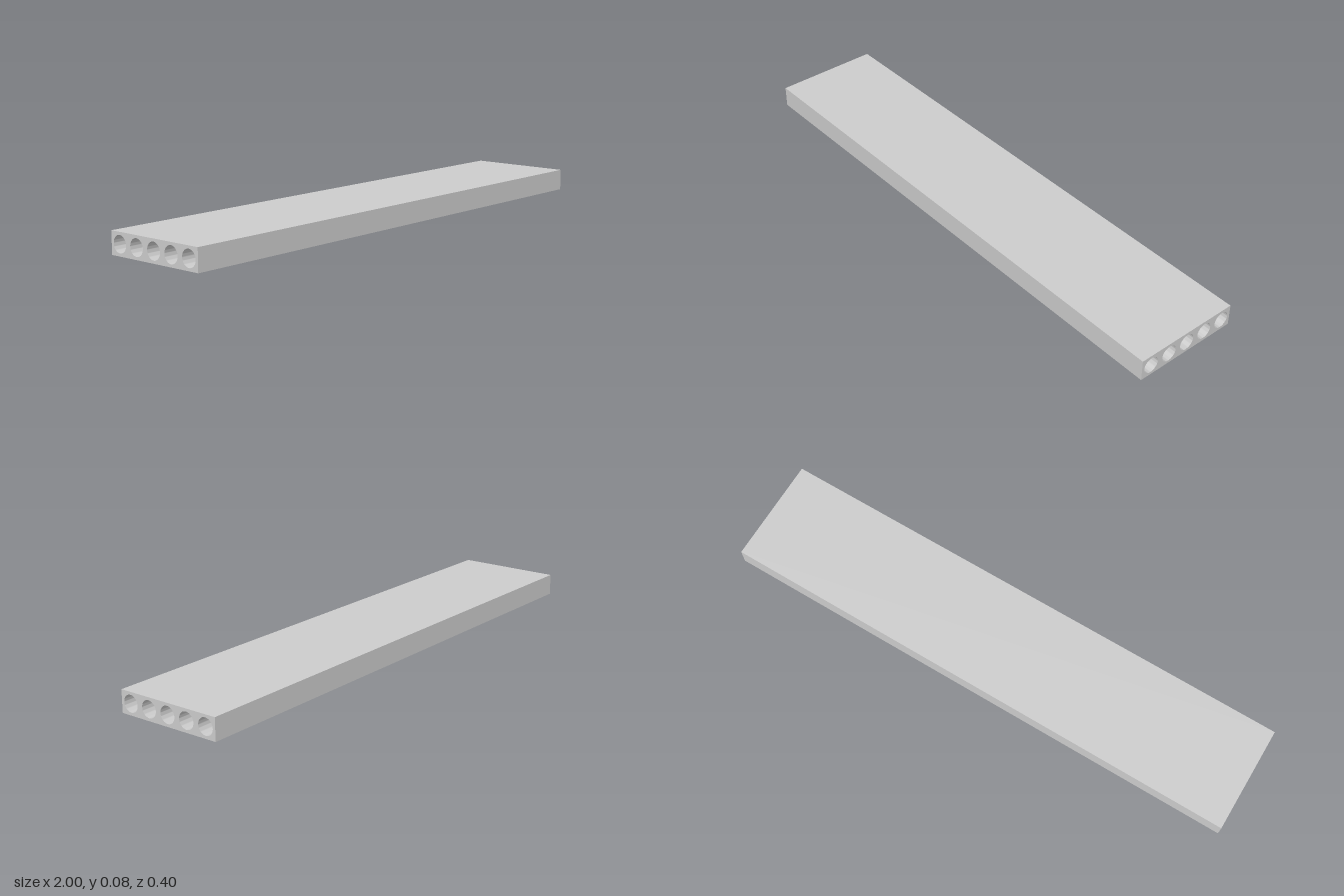
import * as THREE from 'three';
import { toCreasedNormals } from 'three/addons/utils/BufferGeometryUtils.js';

const LENGTH = 2, WIDTH = 0.4, HEIGHT = 0.08;
const CORES = 5, CORE_RADIUS = 0.03;

export function createModel() {
  const group = new THREE.Group();
  group.name = 'hollowCoreSlab';

  // Cross-section: a rectangle pierced by a row of round cores
  const section = new THREE.Shape();
  section.moveTo(-WIDTH / 2, 0);
  section.lineTo(WIDTH / 2, 0);
  section.lineTo(WIDTH / 2, HEIGHT);
  section.lineTo(-WIDTH / 2, HEIGHT);
  section.closePath();

  const spacing = WIDTH / CORES;
  for (let i = 0; i < CORES; i++) {
    const core = new THREE.Path();
    core.absarc((i - (CORES - 1) / 2) * spacing, HEIGHT / 2, CORE_RADIUS, 0, Math.PI * 2, true);
    section.holes.push(core);
  }

  // Slab: the section swept along x, smooth inside the cores
  const geometry = new THREE.ExtrudeGeometry(section, {
    depth: LENGTH, bevelEnabled: false, curveSegments: 48,
  });
  geometry.translate(0, 0, -LENGTH / 2);
  geometry.rotateY(Math.PI / 2);

  const slab = new THREE.Mesh(
    toCreasedNormals(geometry, Math.PI / 6),
    new THREE.MeshStandardMaterial({ color: 0xcccccc }),
  );
  slab.name = 'slab';
  group.add(slab);
  return group;
}
